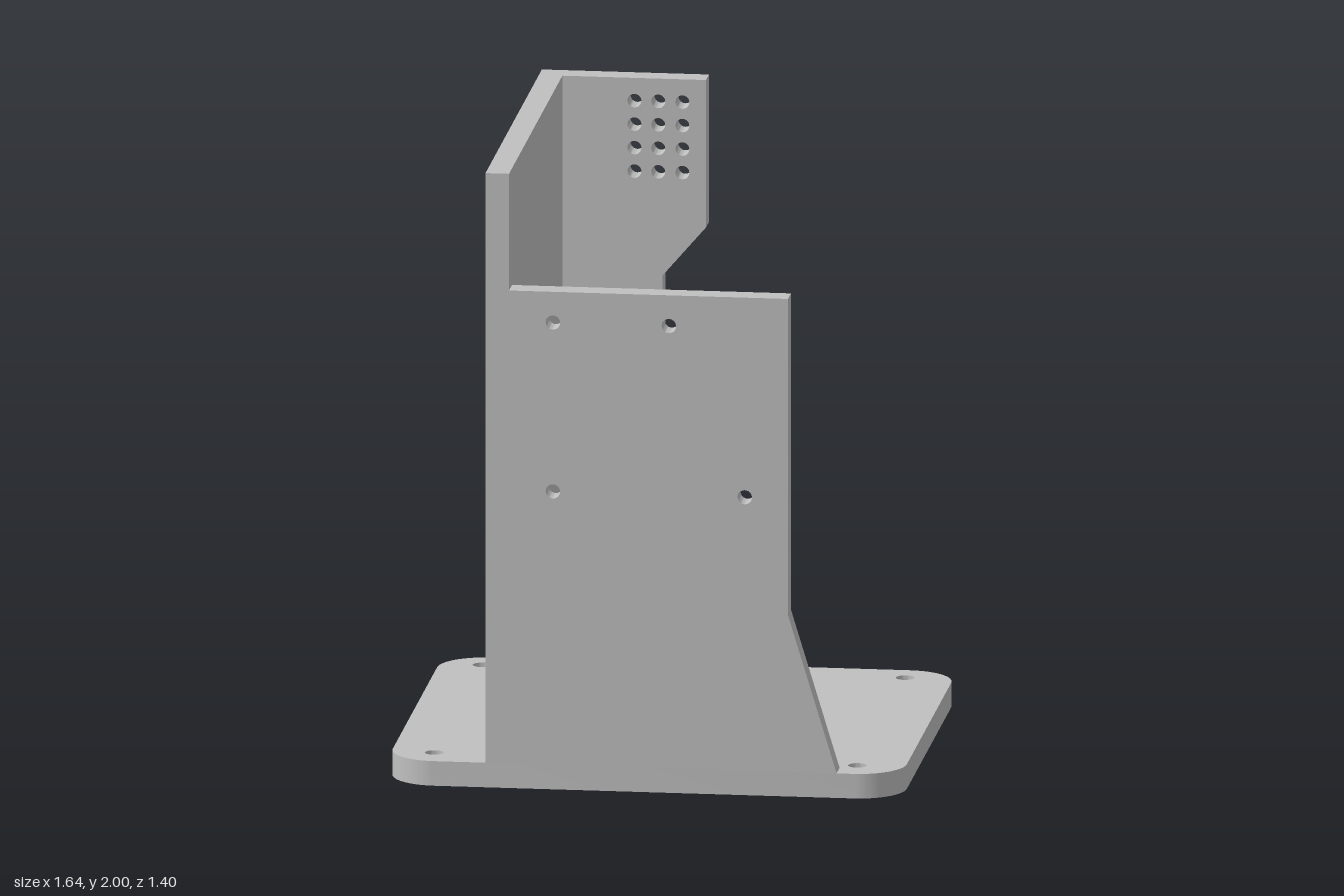
import * as THREE from 'three';
import { toCreasedNormals } from 'three/addons/utils/BufferGeometryUtils.js';

export function createModel() {
  const model = new THREE.Group();
  model.name = 'bracketStand';
  const grey = new THREE.MeshStandardMaterial({ color: 0xc0c0c0 });
  grey.name = 'plain grey';

  const outline = (points) => new THREE.Shape(points.map(([x, y]) => new THREE.Vector2(x, y)));

  const drill = (shape, holes, radius) => {
    for (const [x, y] of holes) {
      shape.holes.push(new THREE.Path().absarc(x, y, radius, 0, Math.PI * 2, true));
    }
    return shape;
  };

  // Extrudes an outline along +z, starting at the given z
  const plate = (name, shape, z, depth) => {
    const extruded = new THREE.ExtrudeGeometry(shape, { depth, bevelEnabled: false, curveSegments: 14 });
    const mesh = new THREE.Mesh(toCreasedNormals(extruded, 0.6), grey);
    mesh.name = name;
    mesh.position.z = z;
    model.add(mesh);
    return mesh;
  };

  const baseTop = 0.08, wallIn = -0.43, wallOut = -0.505;
  const halfX = 0.82, halfZ = 0.7, thick = 0.075;

  // Base with rounded corners and four mounting holes
  const r = 0.15, q = Math.PI / 2;
  const baseShape = new THREE.Shape();
  [[1, 1], [-1, 1], [-1, -1], [1, -1]].forEach(([sx, sy], i) => {
    baseShape.absarc(sx * (halfX - r), sy * (halfZ - r), r, i * q, (i + 1) * q, false);
  });
  baseShape.closePath();
  const corners = [[-0.683, 0.6], [0.667, 0.6], [-0.683, -0.585], [0.667, -0.585]];
  const base = plate('base', drill(baseShape, corners, 0.03), 0, baseTop);
  base.rotation.x = -Math.PI / 2;

  // Tall side wall
  plate('sideWall', outline([[wallOut, baseTop], [wallIn, baseTop], [wallIn, 2], [wallOut, 2]]), -halfZ, halfZ * 2);

  // Front panel with a splayed foot and four screw holes
  const front = outline([[wallIn, baseTop], [0.615, baseTop], [0.46, 0.59], [0.46, 1.62], [wallIn, 1.62]]);
  drill(front, [[-0.29, 1.52], [0.08, 1.52], [-0.29, 0.97], [0.322, 0.97]], 0.023);
  plate('frontPanel', front, halfZ - thick, thick);

  // Narrow back panel with a wider head and a grid of holes
  const back = outline([
    [wallIn, baseTop], [-0.11, baseTop], [-0.11, 1.36], [0.028, 1.52], [0.028, 2], [wallIn, 2],
  ]);
  const grid = [];
  for (const x of [-0.2, -0.124, -0.047]) {
    for (let row = 0; row < 4; row++) grid.push([x, 1.926 - row * 0.0765]);
  }
  drill(back, grid, 0.022);
  plate('backPanel', back, -halfZ, thick);

  // Wedge gussets in the two inner corners
  const wedge = 0.18;
  for (const [name, z] of [['backGusset', thick - halfZ], ['frontGusset', halfZ - thick - wedge]]) {
    plate(name, outline([[wallIn, baseTop], [wallIn + wedge, baseTop], [wallIn, baseTop + wedge]]), z, wedge);
  }

  return model;
}
